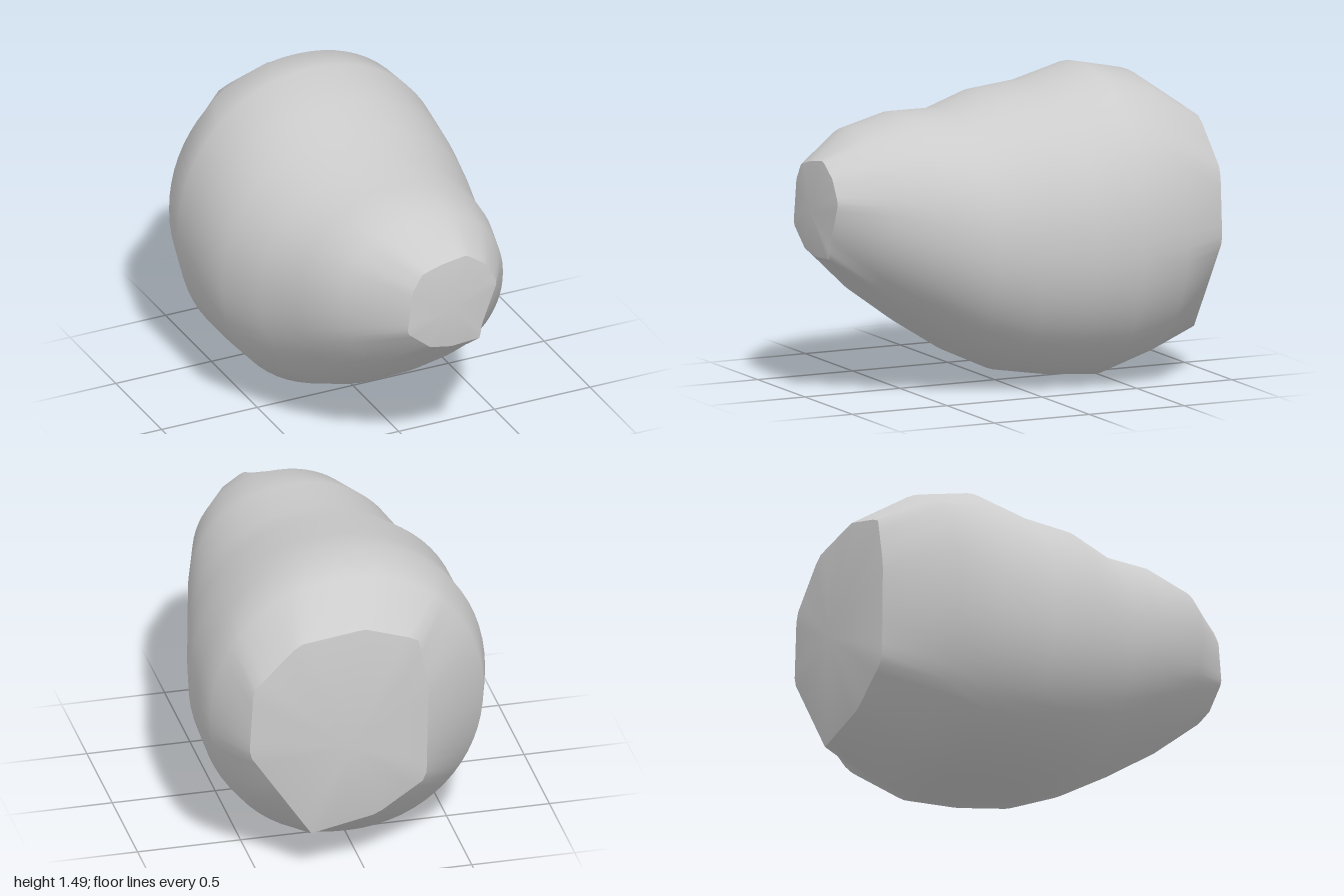
import * as THREE from 'three';

const SEGMENTS = 64;
const material = new THREE.MeshStandardMaterial({ color: 0xcccccc });

// Rounded cross-sections: z, x min, x max, y min, y max
const sections = [
  [0.74, -0.41, 0.43, 0.48, 1.27],
  [0.5, -0.53, 0.51, 0.31, 1.32],
  [0.26, -0.61, 0.57, 0.16, 1.315],
  [0.03, -0.7, 0.63, 0.055, 1.385],
  [-0.2, -0.7, 0.68, 0.02, 1.415],
  [-0.45, -0.7, 0.695, 0, 1.485],
  [-0.68, -0.635, 0.69, 0.085, 1.44],
];

// Faceted end outlines, counter-clockwise in x, y
const tipOutline = [[0.29, 0.97], [0.23, 1.08], [0.13, 1.15], [0, 1.13], [-0.1, 1.1],
  [-0.15, 1.02], [-0.18, 0.8], [-0.06, 0.7], [0.05, 0.68], [0.2, 0.69], [0.21, 0.76]];
const baseOutline = [[0.56, 0.68], [0.54, 1.02], [0.32, 1.24], [0, 1.285], [-0.26, 1.2],
  [-0.31, 0.95], [-0.3, 0.45], [-0.06, 0.29], [0.26, 0.225]];

function ovalRing([z, x0, x1, y0, y1]) {
  const ring = [];
  const bend = (v) => Math.sign(v) * Math.abs(v) ** 0.96;
  for (let i = 0; i < SEGMENTS; i++) {
    const a = (i / SEGMENTS) * Math.PI * 2;
    ring.push([(x0 + x1) / 2 + bend(Math.cos(a)) * (x1 - x0) / 2,
      (y0 + y1) / 2 + bend(Math.sin(a)) * (y1 - y0) / 2, z]);
  }
  return ring;
}

// Samples an outline by casting rays from its centre
function outlineRing(outline, cx, cy, z) {
  const ring = [];
  for (let i = 0; i < SEGMENTS; i++) {
    const a = (i / SEGMENTS) * Math.PI * 2;
    const dx = Math.cos(a), dy = Math.sin(a);
    let r = 0;
    outline.forEach(([px, py], k) => {
      const [qx, qy] = outline[(k + 1) % outline.length];
      const ex = qx - px, ey = qy - py;
      const det = dx * ey - dy * ex;
      if (Math.abs(det) < 1e-9) return;
      const t = ((px - cx) * ey - (py - cy) * ex) / det;
      const s = ((px - cx) * dy - (py - cy) * dx) / det;
      if (t > 0 && s >= -1e-6 && s <= 1 + 1e-6) r = Math.max(r, t);
    });
    ring.push([cx + dx * r, cy + dy * r, z]);
  }
  return ring;
}

function makeMesh(name, points, index) {
  const geometry = new THREE.BufferGeometry();
  geometry.setAttribute('position', new THREE.Float32BufferAttribute(points.flat(), 3));
  geometry.setIndex(index);
  geometry.computeVertexNormals();
  const mesh = new THREE.Mesh(geometry, material);
  mesh.name = name;
  return mesh;
}

// Skin over rings ordered from front to back
function loft(name, rings) {
  const index = [];
  for (let r = 0; r < rings.length - 1; r++) {
    for (let i = 0; i < SEGMENTS; i++) {
      const j = (i + 1) % SEGMENTS;
      const a = r * SEGMENTS + i, b = r * SEGMENTS + j;
      const c = a + SEGMENTS, d = b + SEGMENTS;
      index.push(a, c, b, b, c, d);
    }
  }
  return makeMesh(name, rings.flat(), index);
}

// Shallow fan closing an end
function cap(name, ring, centre, facesFront) {
  const index = [];
  for (let i = 0; i < SEGMENTS; i++) {
    const j = (i + 1) % SEGMENTS;
    index.push(SEGMENTS, facesFront ? i : j, facesFront ? j : i);
  }
  return makeMesh(name, [...ring, centre], index);
}

export function createModel() {
  const group = new THREE.Group();
  group.name = 'pearShapedStone';
  const tip = outlineRing(tipOutline, 0.05, 0.91, 0.97);
  const base = outlineRing(baseOutline, 0.1, 0.75, -0.92);
  group.add(
    loft('body', [tip, ...sections.map(ovalRing), base]),
    cap('frontTip', tip, [0.05, 0.9, 1], true),
    cap('backBase', base, [0.08, 0.71, -1], false),
  );
  return group;
}
